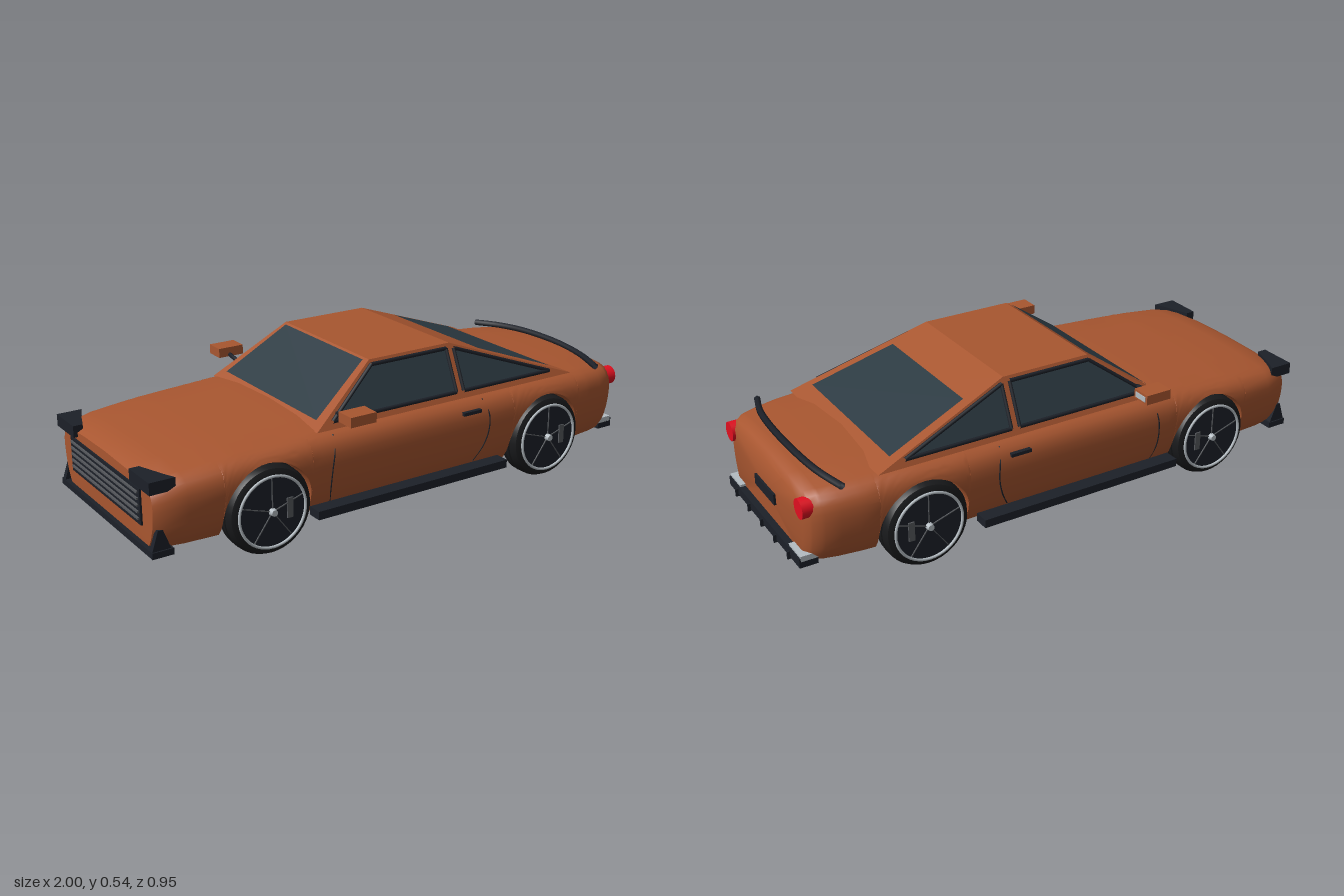
import * as THREE from 'three';
import { toCreasedNormals } from 'three/addons/utils/BufferGeometryUtils.js';

const mat = (color) => new THREE.MeshStandardMaterial({ color, side: THREE.DoubleSide });
const PAINT = mat(0xa85630), BLACK = mat(0x1c2028), GLASS = mat(0x2c3a42);
const RUBBER = mat(0x191a1c), SILVER = mat(0xb4bcc2), GREY = mat(0x55585c), RED = mat(0xe01020);
const V = (x, y, z) => new THREE.Vector3(x, y, z);
const FLOOR = 0.1, WHEEL_Y = 0.163, ARCH_R = 0.162, AXLES = [-0.597, 0.573];

// linear lookup in a list of [key, value]
function lookup(list, k) {
  if (k <= list[0][0]) return list[0][1];
  for (let i = 1; i < list.length; i++) {
    const [a, va] = list[i - 1], [b, vb] = list[i];
    if (k <= b) return va + (vb - va) * (k - a) / (b - a);
  }
  return list[list.length - 1][1];
}
// body half width and top height along x, and side curvature from sill (0) to shoulder (1)
const WIDTH = [[-0.985, 0.345], [-0.95, 0.37], [-0.88, 0.386], [-0.75, 0.395], [-0.5, 0.4], [0.45, 0.4],
  [0.65, 0.395], [0.78, 0.385], [0.86, 0.372], [0.91, 0.358], [0.945, 0.335], [0.965, 0.3]];
const TOP = [[-0.985, 0.325], [-0.95, 0.343], [-0.88, 0.354], [-0.7, 0.37], [-0.4, 0.386], [0, 0.392],
  [0.6, 0.388], [0.8, 0.377], [0.92, 0.367], [0.95, 0.357], [0.965, 0.34]];
const SIDE = [[0, 0.87], [0.1, 0.915], [0.2, 0.945], [0.35, 0.975], [0.5, 0.993], [0.62, 1], [0.74, 1],
  [0.84, 0.985], [0.91, 0.955], [0.96, 0.91], [1, 0.83]];
const shoulder = (x) => lookup(TOP, x) - 0.014;
const sideZ = (x, y) => lookup(WIDTH, x) * lookup(SIDE, (y - FLOOR) / (shoulder(x) - FLOOR));

function add(parent, name, geometry, material, x = 0, y = 0, z = 0) {
  const m = new THREE.Mesh(geometry, material);
  m.name = name;
  m.position.set(x, y, z);
  parent.add(m);
  return m;
}
// box given by its extents
const block = (parent, name, material, x0, x1, y0, y1, z0, z1) => add(parent, name,
  new THREE.BoxGeometry(x1 - x0, y1 - y0, Math.abs(z1 - z0)), material, (x0 + x1) / 2, (y0 + y1) / 2, (z0 + z1) / 2);
const tube = (parent, name, material, points, r, n = 24) => add(parent, name,
  new THREE.TubeGeometry(new THREE.CatmullRomCurve3(points), n, r, 6), material);
// flat convex panel
function panel(parent, name, points, material) {
  const g = new THREE.BufferGeometry().setFromPoints(points);
  const index = [];
  for (let i = 1; i < points.length - 1; i++) index.push(0, i, i + 1);
  g.setIndex(index);
  g.computeVertexNormals();
  return add(parent, name, g, material);
}

// lofted shell with open wheel arches
function bodyGeometry() {
  const stations = [];
  const plain = [...WIDTH.map((p) => p[0]), ...TOP.map((p) => p[0]), -0.3, -0.15, 0.15, 0.3];
  for (const x of new Set(plain)) {
    if (AXLES.every((c) => Math.abs(x - c) > ARCH_R + 0.005)) stations.push([x, FLOOR]);
  }
  for (const c of AXLES) {
    stations.push([c - ARCH_R - 1e-5, FLOOR]);
    for (let i = 0; i <= 20; i++) {
      const a = Math.PI * (1 - i / 20);
      stations.push([c + ARCH_R * Math.cos(a), WHEEL_Y + ARCH_R * Math.sin(a)]);
    }
    stations.push([c + ARCH_R + 1e-5, FLOOR]);
  }
  stations.sort((a, b) => a[0] - b[0]);
  const rows = [0, 0.1, 0.2, 0.35, 0.5, 0.62, 0.74, 0.84, 0.91, 0.96, 1];
  const pos = [], index = [];
  let n = 0;
  for (const [x, yb] of stations) {
    const w = lookup(WIDTH, x), h = lookup(TOP, x), ys = shoulder(x), inner = Math.min(0.3, w * 0.8);
    const half = [[FLOOR, inner], [yb, inner]];
    for (const t of rows) {
      const y = yb + (ys - yb) * t;
      half.push([y, sideZ(x, y)]);
    }
    half.push([h - 0.004, w * 0.5]);
    const ring = [[FLOOR, 0], ...half, [h, 0], ...half.slice().reverse().map(([y, z]) => [y, -z])];
    n = ring.length;
    for (const [y, z] of ring) pos.push(x, y, z);
  }
  const last = stations.length - 1;
  for (let i = 0; i < last; i++) {
    for (let j = 0; j < n; j++) {
      const a = i * n + j, b = i * n + (j + 1) % n;
      index.push(a, a + n, b + n, a, b + n, b);
    }
  }
  // nose and tail caps
  const c = pos.length / 3;
  pos.push(-0.987, 0.22, 0, 0.968, 0.22, 0);
  for (let j = 0; j < n; j++) {
    const k = (j + 1) % n;
    index.push(c, j, k, c + 1, last * n + k, last * n + j);
  }
  const g = new THREE.BufferGeometry();
  g.setAttribute('position', new THREE.Float32BufferAttribute(pos, 3));
  g.setIndex(index);
  return toCreasedNormals(g, 0.7);
}

// tapered cabin: a box with its corners moved
function cabinGeometry() {
  const g = new THREE.BoxGeometry(1, 1, 1), p = g.attributes.position;
  for (let i = 0; i < p.count; i++) {
    const up = p.getY(i) > 0, front = p.getX(i) < 0;
    const x = up ? (front ? -0.13 : 0.21) : (front ? -0.392 : 0.72);
    p.setXYZ(i, x, up ? 0.553 : 0.37, Math.sign(p.getZ(i)) * (up ? 0.27 : 0.354));
  }
  g.computeVertexNormals();
  return g;
}
const cabinZ = (y) => 0.354 - (y - 0.37) * 0.459;

function wheel() {
  const g = new THREE.Group();
  g.name = 'wheel';
  const profile = [[0.1, -0.05], [0.13, -0.05], [0.146, -0.042], [0.154, -0.025], [0.154, -0.016], [0.149, -0.014],
    [0.149, -0.01], [0.155, -0.008], [0.155, 0.008], [0.149, 0.01], [0.149, 0.014], [0.154, 0.016], [0.154, 0.025],
    [0.146, 0.042], [0.13, 0.05], [0.12, 0.05]].map(([r, y]) => new THREE.Vector2(r, y));
  add(g, 'tyre', toCreasedNormals(new THREE.LatheGeometry(profile, 40).rotateX(Math.PI / 2), 0.6), RUBBER);
  add(g, 'rimDisc', new THREE.CylinderGeometry(0.123, 0.123, 0.096, 40).rotateX(Math.PI / 2), BLACK);
  add(g, 'rimRing', new THREE.TorusGeometry(0.123, 0.005, 8, 48), SILVER, 0, 0, 0.052);
  add(g, 'hub', new THREE.CylinderGeometry(0.011, 0.014, 0.02, 16).rotateX(Math.PI / 2), SILVER, 0, 0, 0.055);
  for (let i = 0; i < 5; i++) {
    const a = Math.PI / 2 + i * Math.PI * 0.4;
    const s = add(g, 'spoke', new THREE.BoxGeometry(0.11, 0.003, 0.006), GREY,
      0.064 * Math.cos(a), 0.064 * Math.sin(a), 0.049);
    s.rotation.z = a;
  }
  add(g, 'caliper', new THREE.BoxGeometry(0.022, 0.07, 0.01), GREY, 0.065, 0, 0.048);
  return g;
}

// parts found on both sides, s = 1 or -1
function addSide(car, s) {
  AXLES.forEach((x) => {
    const w = wheel();
    w.position.set(x, WHEEL_Y, s * 0.358);
    if (s < 0) w.scale.z = -1;
    car.add(w);
  });
  // side windows with black frames
  const outlines = {
    frontWindow: [[-0.325, 0.395], [-0.128, 0.538], [0.19, 0.538], [0.19, 0.395]],
    rearWindow: [[0.222, 0.395], [0.222, 0.535], [0.62, 0.395]],
  };
  for (const [name, pts] of Object.entries(outlines)) {
    const corners = pts.map(([x, y]) => V(x, y, s * (cabinZ(y) + 0.003)));
    panel(car, name, corners, GLASS);
    corners.forEach((a, i) => add(car, name + 'Frame', new THREE.TubeGeometry(
      new THREE.LineCurve3(a, corners[(i + 1) % corners.length]), 1, 0.007, 6), BLACK));
  }
  // door seams and handle
  const seam = (pts) => tube(car, 'doorSeam', BLACK, pts.map(([x, y]) => V(x, y, s * sideZ(x, y))), 0.0025);
  seam([[-0.34, 0.36], [-0.352, 0.31], [-0.36, 0.25], [-0.36, 0.18], [-0.35, 0.12]]);
  seam([[0.285, 0.36], [0.298, 0.31], [0.3, 0.25], [0.285, 0.19], [0.255, 0.13]]);
  block(car, 'doorHandle', BLACK, 0.18, 0.257, 0.324, 0.336, s * 0.39, s * 0.407);
  block(car, 'sideSkirt', BLACK, -0.43, 0.37, 0.094, 0.124, s * 0.365, s * 0.42);
  // mirror
  block(car, 'mirror', PAINT, -0.34, -0.24, 0.415, 0.45, s * 0.403, s * 0.475);
  block(car, 'mirrorGlass', SILVER, -0.245, -0.237, 0.423, 0.442, s * 0.412, s * 0.466);
  tube(car, 'mirrorArm', BLACK, [V(-0.3, 0.412, s * 0.32), V(-0.3, 0.42, s * 0.37), V(-0.295, 0.422, s * 0.41)], 0.008, 6);
  // headlight wedge
  const light = new THREE.Shape([[-1, 0.22], [-1, 0.362], [-0.91, 0.362], [-0.925, 0.33], [-0.965, 0.22]]
    .map(([x, z]) => new THREE.Vector2(x, s * z)));
  add(car, 'headlight', new THREE.ExtrudeGeometry(light, { depth: 0.042, bevelEnabled: false }).rotateX(Math.PI / 2),
    BLACK, 0, 0.343, 0);
  // front lip end plate
  const plate = new THREE.Shape([[-1, 0.1], [-0.975, 0.175], [-0.958, 0.175], [-0.93, 0.1]]
    .map(([x, y]) => new THREE.Vector2(x, y)));
  add(car, 'lipEndPlate', new THREE.ExtrudeGeometry(plate, { depth: 0.02, bevelEnabled: false }), BLACK, 0, 0, s * 0.345 - 0.01);
  // tail light and silver corner trim
  add(car, 'tailLight', new THREE.CylinderGeometry(0.035, 0.035, 0.05, 28).rotateZ(Math.PI / 2), RED, 0.95, 0.3, s * 0.3);
  block(car, 'bumperTrim', SILVER, 0.91, 0.985, 0.11, 0.13, s * 0.215, s * 0.31);
}

export function createModel() {
  const car = new THREE.Group();
  car.name = 'car';
  add(car, 'body', bodyGeometry(), PAINT);
  add(car, 'cabin', cabinGeometry(), PAINT);
  for (const s of [1, -1]) addSide(car, s);

  // front and rear glass, lifted slightly off the cabin
  panel(car, 'windscreen', [V(-0.364, 0.395, 0.305), V(-0.364, 0.395, -0.305),
    V(-0.142, 0.55, -0.25), V(-0.142, 0.55, 0.25)], GLASS);
  panel(car, 'rearGlass', [V(0.655, 0.397, 0.305), V(0.655, 0.397, -0.305),
    V(0.355, 0.504, -0.257), V(0.355, 0.504, 0.257)], GLASS);

  // grille
  block(car, 'grille', BLACK, -0.992, -0.97, 0.165, 0.29, -0.27, 0.27);
  for (let i = 0; i < 5; i++) {
    const y = 0.182 + i * 0.0225;
    block(car, 'grilleSlat', GREY, -0.998, -0.988, y, y + 0.007, -0.26, 0.26);
  }
  block(car, 'frontLip', BLACK, -1, -0.925, 0.085, 0.107, -0.36, 0.36);

  // rear spoiler, plate and diffuser
  tube(car, 'spoiler', BLACK, [V(0.845, 0.37, 0.355), V(0.878, 0.38, 0.24), V(0.895, 0.388, 0.1),
    V(0.895, 0.388, -0.1), V(0.878, 0.38, -0.24), V(0.845, 0.37, -0.355)], 0.012, 32);
  block(car, 'rearPlate', BLACK, 0.955, 0.975, 0.2, 0.24, -0.083, 0.083);
  block(car, 'diffuser', BLACK, 0.925, 0.99, 0.088, 0.122, -0.31, 0.31);
  for (let i = -2; i <= 2; i++) {
    block(car, 'diffuserFin', BLACK, 0.93, 1, 0.082, 0.11, i * 0.115 - 0.003, i * 0.115 + 0.003);
  }
  return car;
}
